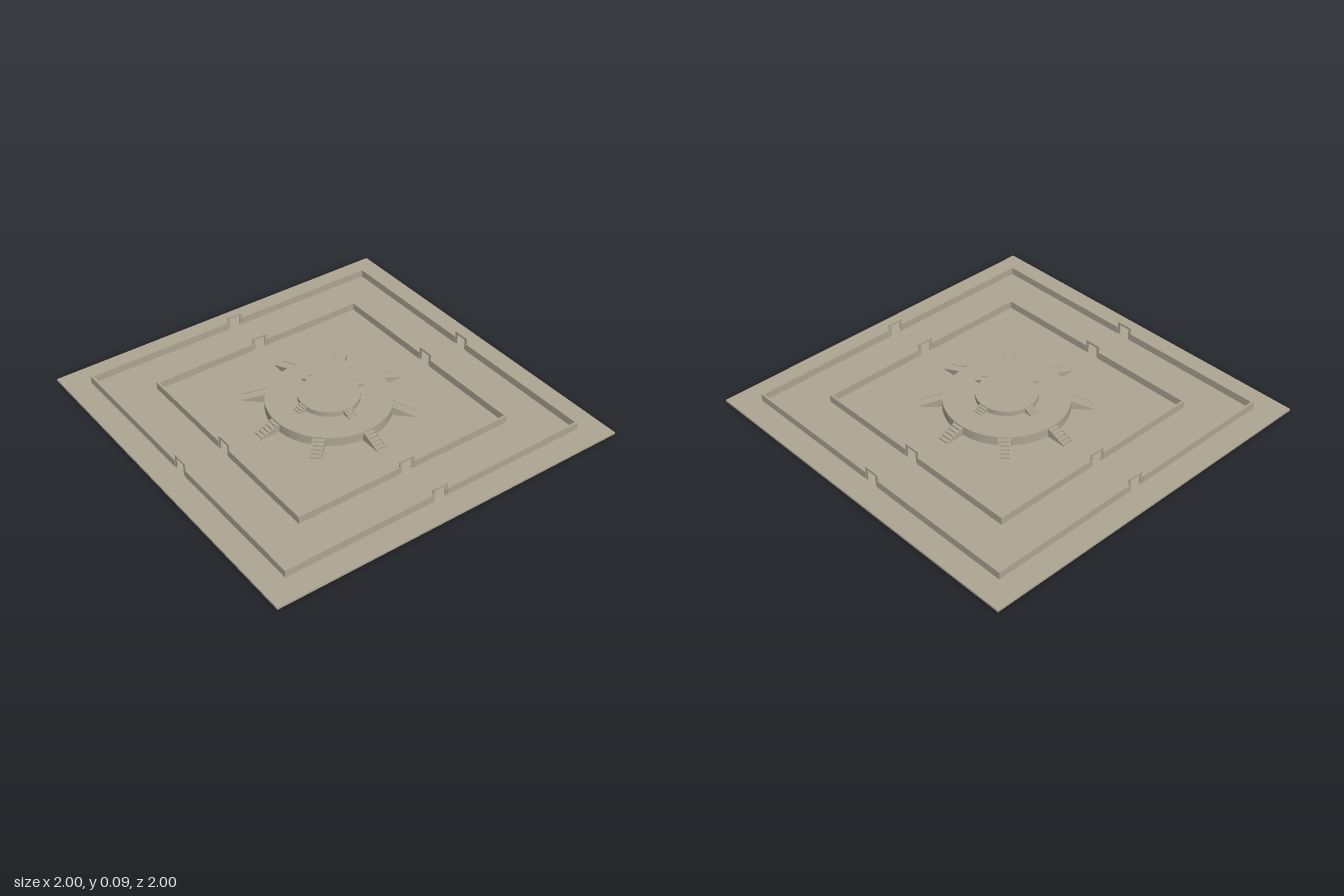
import * as THREE from 'three';

const GROUND = 0.01;

export function createModel() {
  const model = new THREE.Group();
  model.name = 'squareTerraceAltar';
  const stone = new THREE.MeshStandardMaterial({ color: 0xada593 });
  stone.name = 'stone';

  function add(parent, geometry, name, x = 0, y = 0, z = 0) {
    const mesh = new THREE.Mesh(geometry, stone);
    mesh.name = name;
    mesh.position.set(x, y, z);
    parent.add(mesh);
    return mesh;
  }
  const box = (w, h, d) => new THREE.BoxGeometry(w, h, d);

  // Base slab
  add(model, box(2, GROUND, 2), 'baseSlab', 0, GROUND / 2, 0);

  // Gate frame outline: two posts and a lintel
  const gateHalf = 0.044, gateTop = 0.082, openHalf = 0.03, openTop = 0.07;
  const gateShape = new THREE.Shape([
    [-gateHalf, GROUND], [-openHalf, GROUND], [-openHalf, openTop], [openHalf, openTop],
    [openHalf, GROUND], [gateHalf, GROUND], [gateHalf, gateTop], [-gateHalf, gateTop],
  ].map(([x, y]) => new THREE.Vector2(x, y)));
  const gateDepth = 0.005;
  const gateGeometry = new THREE.ExtrudeGeometry(gateShape, { depth: gateDepth, bevelEnabled: false });

  // Square enclosure with a gate in the middle of every side
  function enclosure(name, half) {
    const group = new THREE.Group();
    group.name = name;
    const t = 0.011, h = 0.04, mid = half - t / 2;
    for (let i = 0; i < 4; i++) {
      const side = new THREE.Group();
      side.name = 'wallSide';
      side.rotation.y = i * Math.PI / 2;
      for (const s of [-1, 1]) {
        const end = s > 0 ? half - t : half; // corners butt together
        add(side, box(end - gateHalf, h, t), 'wall', s * (end + gateHalf) / 2, GROUND + h / 2, mid);
      }
      add(side, gateGeometry, 'gate', 0, 0, mid - gateDepth / 2);
      group.add(side);
    }
    model.add(group);
  }
  enclosure('outerEnclosure', 0.87);
  enclosure('innerEnclosure', 0.626);

  // Round tiers
  function tier(name, radius, bottom, top) {
    add(model, new THREE.CylinderGeometry(radius, radius, top - bottom, 64), name, 0, (top + bottom) / 2, 0);
  }
  tier('lowerTier', 0.323, GROUND, 0.06);
  tier('upperTier', 0.158, 0.06, 0.087);

  // Radial stairs: solid steps between two thin sloping side walls
  function stairs(name, count, inner, outer, bottom, top, half, steps) {
    const run = (outer - inner) / steps, rise = (top - bottom) / steps;
    const inset = inner - 0.012; // reaches inside the curved tier wall
    const t = 0.003;

    const stepped = new THREE.Shape();
    stepped.moveTo(inset, bottom);
    stepped.lineTo(outer - run, bottom);
    for (let i = 1; i < steps; i++) {
      stepped.lineTo(outer - i * run, bottom + i * rise);
      stepped.lineTo(outer - (i + 1) * run, bottom + i * rise);
    }
    stepped.lineTo(inset, bottom + (steps - 1) * rise);

    const slope = new THREE.Shape();
    slope.moveTo(inset, bottom);
    slope.lineTo(outer, bottom);
    slope.lineTo(inner, top);
    slope.lineTo(inset, top);

    const width = 2 * (half - t);
    const stepGeometry = new THREE.ExtrudeGeometry(stepped, { depth: width, bevelEnabled: false });
    const sideGeometry = new THREE.ExtrudeGeometry(slope, { depth: t, bevelEnabled: false });
    for (let i = 0; i < count; i++) {
      const flight = new THREE.Group();
      flight.name = name;
      flight.rotation.y = i * 2 * Math.PI / count;
      add(flight, stepGeometry, 'steps', 0, 0, -width / 2);
      add(flight, sideGeometry, 'stairSide', 0, 0, -half);
      add(flight, sideGeometry, 'stairSide', 0, 0, half - t);
      model.add(flight);
    }
  }
  stairs('lowerStairs', 8, 0.32, 0.445, GROUND, 0.06, 0.03, 6);
  stairs('upperStairs', 4, 0.156, 0.212, 0.06, 0.087, 0.025, 4);

  return model;
}
